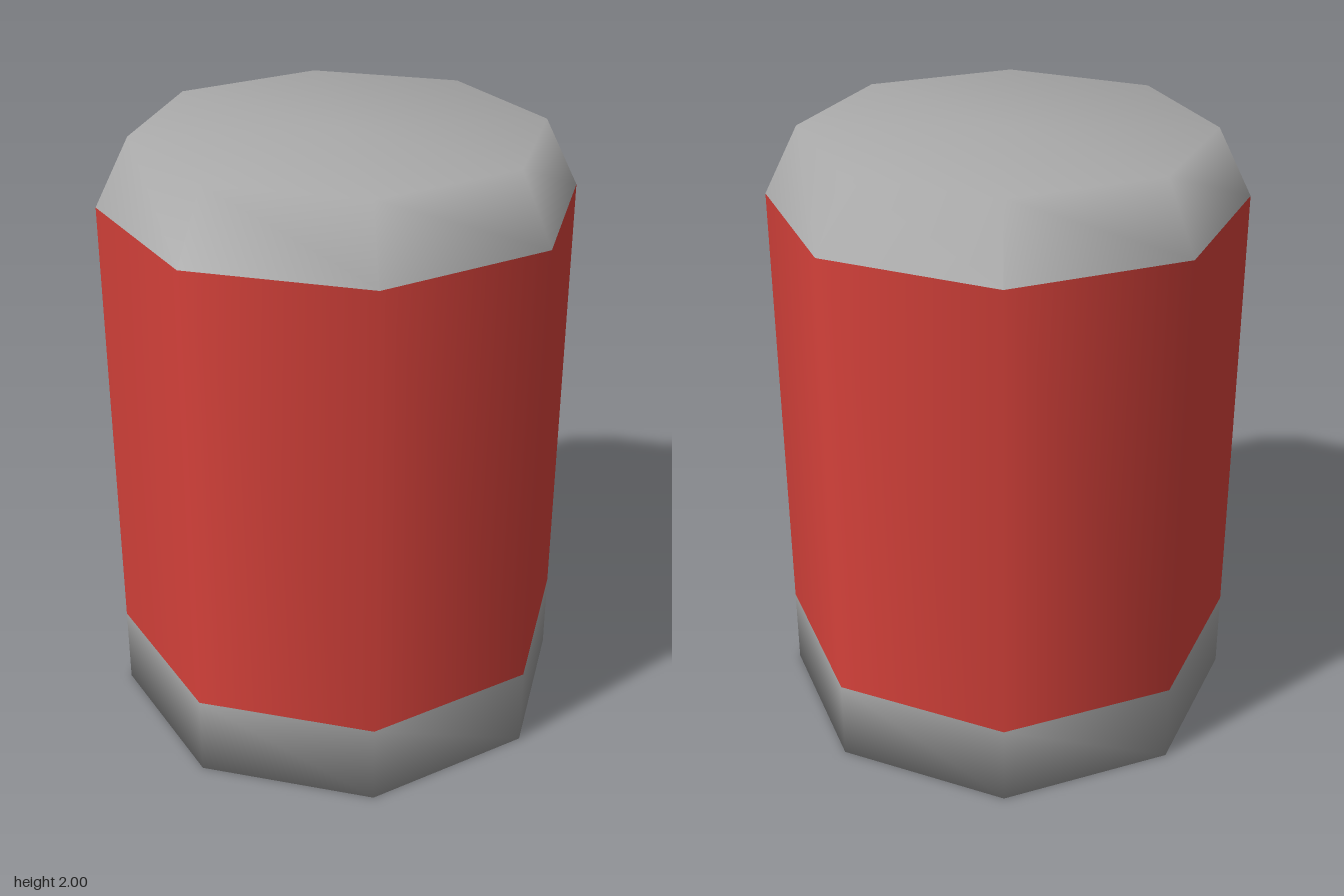
import * as THREE from 'three';

const SIDES = 8;
const RADIUS = 0.76;

// Smooth-shaded eight-sided ring or cap from a bottom-to-top profile of [radius, height]
function turned(name, profile, material) {
  const points = profile.map(([r, y]) => new THREE.Vector2(r, y));
  const mesh = new THREE.Mesh(new THREE.LatheGeometry(points, SIDES), material);
  mesh.name = name;
  return mesh;
}

export function createModel() {
  const metal = new THREE.MeshStandardMaterial({ color: 0xaaaaaa });
  metal.name = 'grey metal';
  const paint = new THREE.MeshStandardMaterial({ color: 0xd4413a });
  paint.name = 'red paint';

  const can = new THREE.Group();
  can.name = 'can';

  // Closed straight base, painted wall, and tapered closed lid
  can.add(
    turned('base', [[0, 0], [RADIUS, 0], [RADIUS, 0.27]], metal),
    turned('body', [[RADIUS, 0.27], [RADIUS, 1.78]], paint),
    turned('lid', [[RADIUS, 1.78], [0.65, 2], [0, 2]], metal),
  );
  return can;
}
